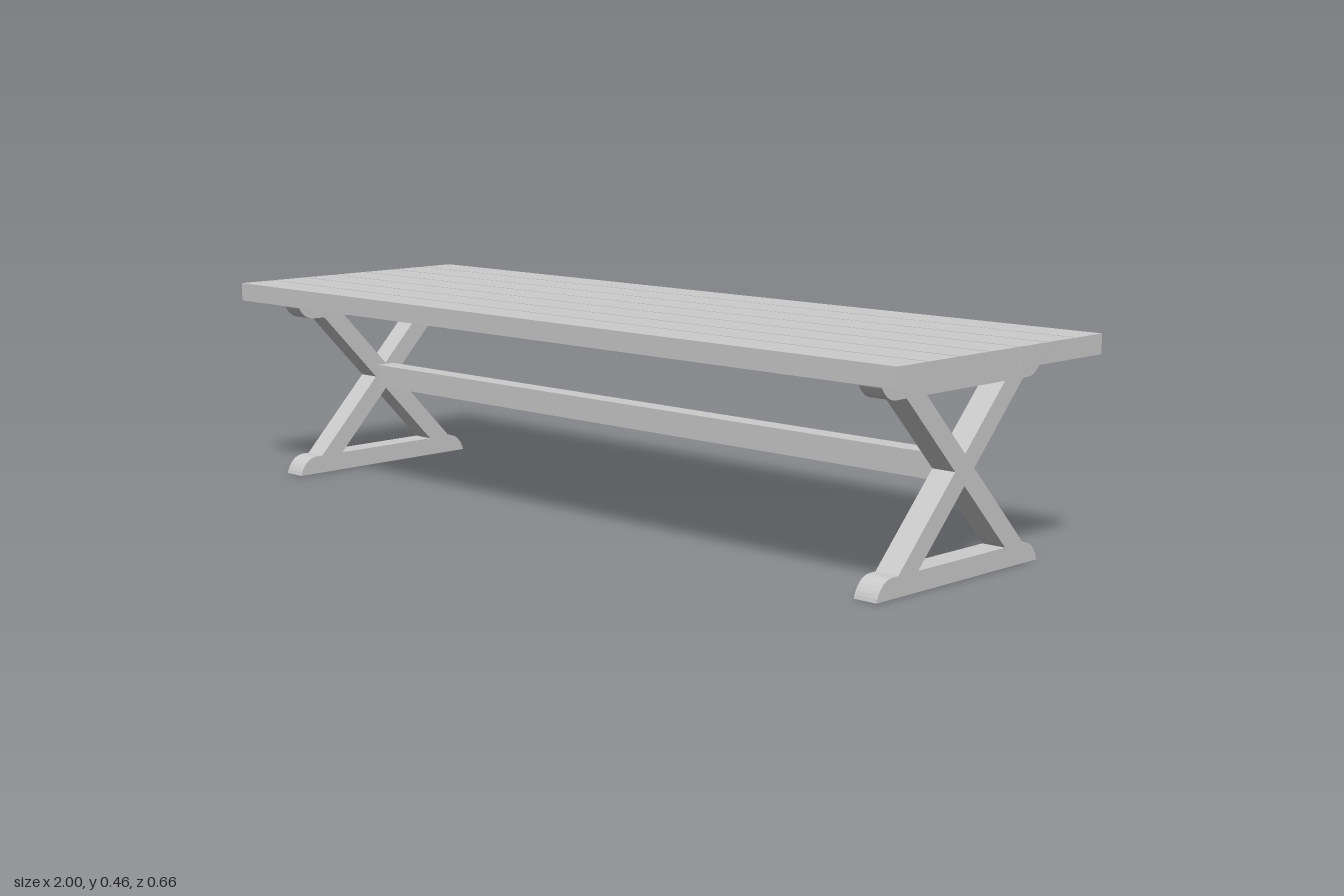
import * as THREE from 'three';

const material = new THREE.MeshStandardMaterial({ color: 0xcccccc, flatShading: true });
const LEG_X = 0.8875, LEG_DEPTH = 0.055;

function box(name, w, h, d, x, y, z) {
  const mesh = new THREE.Mesh(new THREE.BoxGeometry(w, h, d), material);
  mesh.position.set(x, y, z);
  mesh.name = name;
  return mesh;
}

// Extrudes a (z, y) outline across the leg thickness, centred on x = 0
function legPart(name, shape) {
  const geo = new THREE.ExtrudeGeometry(shape, { depth: LEG_DEPTH, bevelEnabled: false, curveSegments: 8 });
  geo.rotateY(-Math.PI / 2).translate(LEG_DEPTH / 2, 0, 0);
  const mesh = new THREE.Mesh(geo, material);
  mesh.name = name;
  return mesh;
}

// Rail with rounded ends: flat long side at yFlat, short side at yRound
function railShape(yFlat, yRound) {
  const front = 0.269, back = -0.247, inset = 0.047;
  const yc = yFlat + (yRound - yFlat) * 0.5;
  const s = new THREE.Shape();
  s.moveTo(back, yFlat);
  s.lineTo(front, yFlat);
  s.bezierCurveTo(front - 0.005, yc, front - 0.022, yRound, front - inset, yRound);
  s.lineTo(back + inset, yRound);
  s.bezierCurveTo(back + 0.022, yRound, back + 0.005, yc, back, yFlat);
  return s;
}

// Slanted brace given its centre at the bottom and top
function braceShape(zBottom, zTop) {
  const h = 0.0307, y0 = 0.042, y1 = 0.38;
  return new THREE.Shape([
    new THREE.Vector2(zBottom - h, y0), new THREE.Vector2(zBottom + h, y0),
    new THREE.Vector2(zTop + h, y1), new THREE.Vector2(zTop - h, y1),
  ]);
}

function createLeg(name) {
  const leg = new THREE.Group();
  leg.name = name;
  leg.add(
    legPart('foot', railShape(0, 0.042)),
    legPart('topRail', railShape(0.421, 0.38)),
    legPart('braceFrontToBack', braceShape(0.174, -0.153)),
    legPart('braceBackToFront', braceShape(-0.168, 0.159)),
  );
  return leg;
}

export function createModel() {
  const model = new THREE.Group();
  model.name = 'bench';

  // Seat planks with narrow gaps
  const seat = new THREE.Group();
  seat.name = 'seat';
  for (let i = -3; i <= 3; i++) {
    seat.add(box('plank', 2, 0.042, 0.0898, 0, 0.442, i * 0.0944));
  }
  model.add(seat);

  // Crossed legs at both ends
  for (const side of [-1, 1]) {
    const leg = createLeg(side > 0 ? 'leftLeg' : 'rightLeg');
    leg.position.x = side * LEG_X;
    model.add(leg);
  }

  // Beam joining the two crossings
  model.add(box('stretcher', 1.72, 0.053, 0.05, 0, 0.221, 0.003));
  return model;
}
